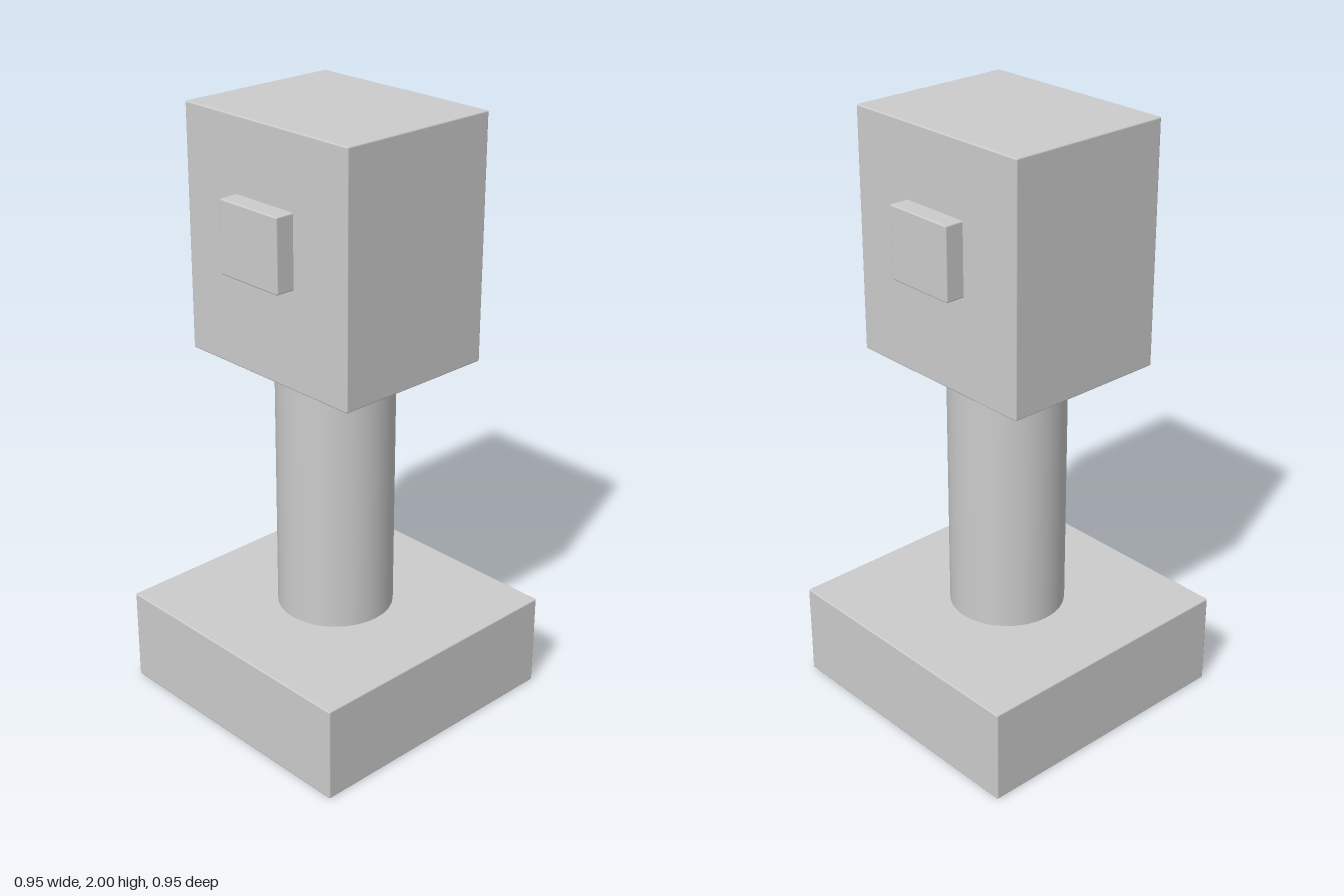
import * as THREE from 'three';
import { RoundedBoxGeometry } from 'three/addons/geometries/RoundedBoxGeometry.js';

const material = new THREE.MeshStandardMaterial({ color: 0xcccccc });

// Box with finely softened edges, placed by its bottom and top heights
function block(name, width, depth, bottom, top, z = 0) {
  const height = top - bottom;
  const mesh = new THREE.Mesh(new RoundedBoxGeometry(width, height, depth, 2, 0.005), material);
  mesh.name = name;
  mesh.position.set(0, bottom + height / 2, z);
  return mesh;
}

export function createModel() {
  const model = new THREE.Group();
  model.name = 'mallet';

  // Square foot and the block on top
  model.add(block('base', 0.955, 0.955, 0, 0.32));
  model.add(block('head', 0.7, 0.572, 1.205, 2));

  // Round post, its ends sunk slightly into both blocks
  const post = new THREE.Mesh(new THREE.CylinderGeometry(0.193, 0.193, 0.905, 32), material);
  post.name = 'post';
  post.position.y = 0.7625;
  model.add(post);

  // Raised square pads on the front and back of the head
  for (const side of [1, -1]) {
    const name = side > 0 ? 'frontPad' : 'backPad';
    model.add(block(name, 0.25, 0.1, 1.525, 1.762, side * 0.3));
  }

  return model;
}
